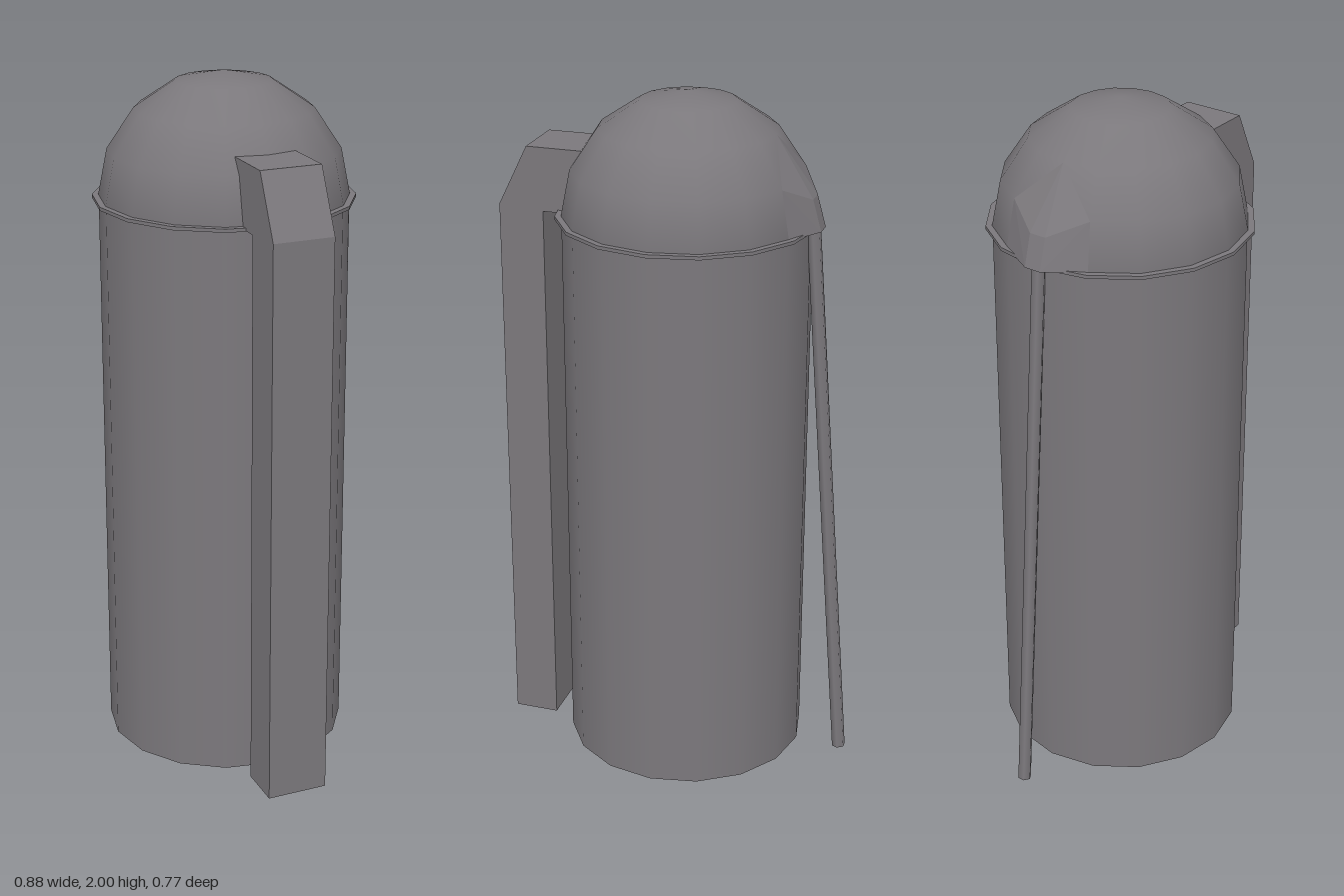
import * as THREE from 'three';
import { ConvexGeometry } from 'three/addons/geometries/ConvexGeometry.js';

const SIDES = 16;
const BODY_R = 0.354;
const EAVE_Y = 1.64;
const DOME_R = 0.356;

export function createModel() {
  const model = new THREE.Group();
  model.name = 'silo';

  const steel = new THREE.MeshStandardMaterial({ color: 0x7b787c });
  steel.name = 'grey steel';

  // Local +x points at the chute, local -x at the slanted pipe
  const tower = new THREE.Group();
  tower.name = 'tower';
  tower.position.set(-0.035, 0, -0.013);
  tower.rotation.y = -THREE.MathUtils.degToRad(37.8);
  model.add(tower);

  const add = (name, geometry) => {
    const mesh = new THREE.Mesh(geometry, steel);
    mesh.name = name;
    tower.add(mesh);
    return mesh;
  };

  // Cylindrical wall
  add('body', new THREE.CylinderGeometry(BODY_R, BODY_R, EAVE_Y, SIDES))
    .position.y = EAVE_Y / 2;

  // Thin ring under the dome
  add('rim', new THREE.CylinderGeometry(0.373, 0.373, 0.01, SIDES))
    .position.y = EAVE_Y + 0.003;

  // Half-sphere roof
  add('dome', new THREE.SphereGeometry(DOME_R, SIDES, 4, 0, Math.PI * 2, 0, Math.PI / 2))
    .position.y = EAVE_Y + 0.004;

  // Dome point by ring (latitude) and column (longitude), in steps of 22.5 degrees
  const step = Math.PI / 8;
  const domePoint = (ring, column) => new THREE.Vector3(
    -DOME_R * Math.cos(ring * step) * Math.cos(column * step),
    EAVE_Y + 0.004 + DOME_R * Math.sin(ring * step),
    DOME_R * Math.cos(ring * step) * Math.sin(column * step),
  );

  // Bulge in the dome where the pipe enters
  const bulge = [domePoint(2, 0)];
  for (const s of [-1, 1]) {
    bulge.push(
      new THREE.Vector3(-0.39, EAVE_Y, s * 0.025),
      new THREE.Vector3(-0.365, 1.73, s * 0.025),
      domePoint(0, s),
      domePoint(1, s),
    );
  }
  add('pipeInlet', new ConvexGeometry(bulge));

  // Slanted filling pipe
  const foot = new THREE.Vector3(-0.487, 0, 0);
  const head = new THREE.Vector3(-0.362, 1.66, 0);
  const path = new THREE.LineCurve3(foot, head);
  const pipe = new THREE.CylinderGeometry(0.02, 0.02, path.getLength(), 6);
  const pipeMesh = add('fillingPipe', pipe);
  pipeMesh.position.copy(path.getPoint(0.5));
  pipeMesh.rotation.z = -Math.atan2(head.x - foot.x, head.y - foot.y);

  // Square chute: upright shaft with a bevelled elbow running into the dome
  const profile = new THREE.Shape([
    [0.4, 0], [0.532, 0], [0.532, 1.65], [0.446, 1.825],
    [0.26, 1.825], [0.32, EAVE_Y], [0.4, EAVE_Y],
  ].map(([x, y]) => new THREE.Vector2(x, y)));
  const width = 0.178;
  const chute = new THREE.ExtrudeGeometry(profile, { depth: width, bevelEnabled: false });
  chute.translate(0, 0, -width / 2);
  add('chute', chute);

  return model;
}
